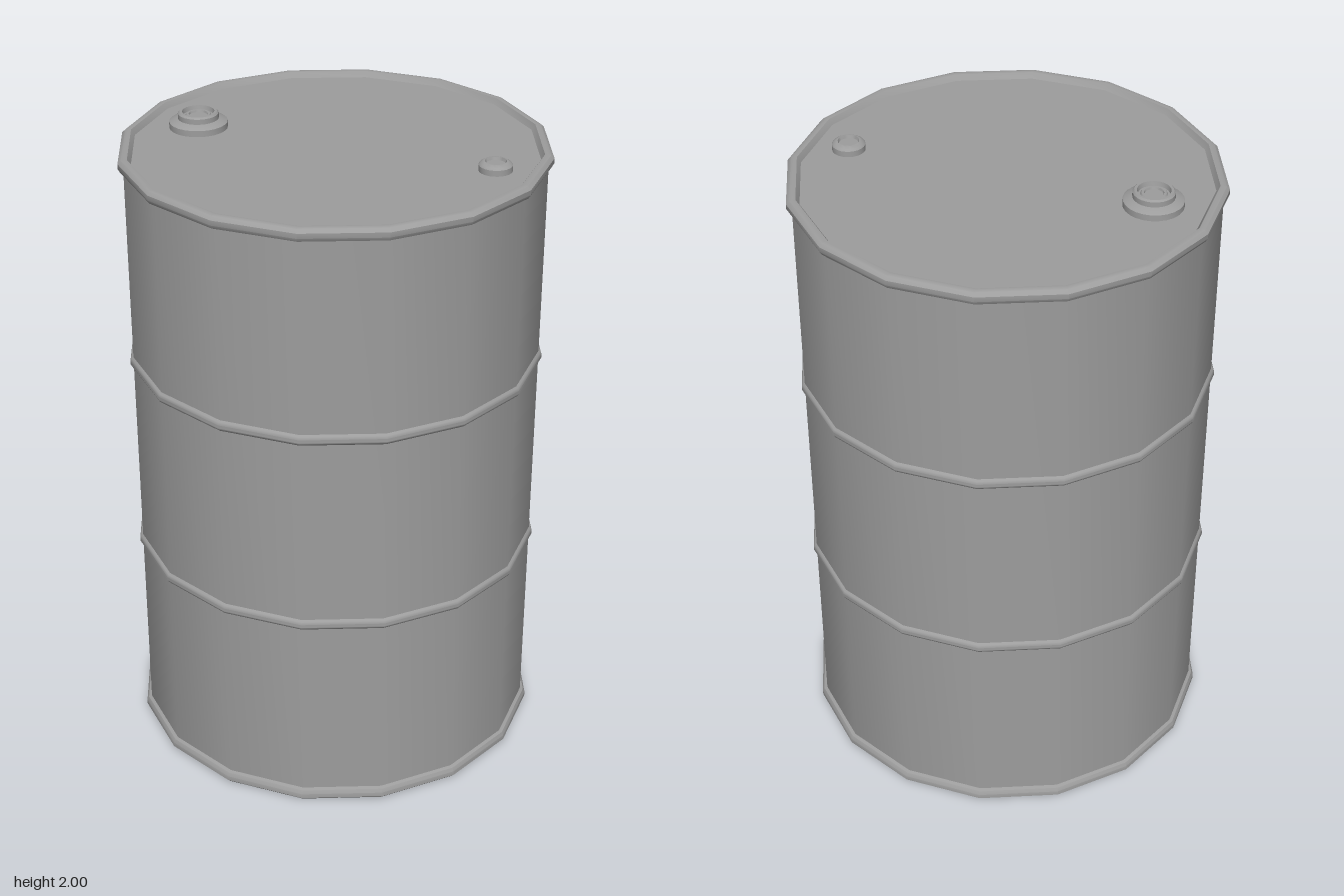
import * as THREE from 'three';
import { toCreasedNormals } from 'three/addons/utils/BufferGeometryUtils.js';

const SIDES = 16;

// Revolved part; the profile of [radius, y] runs up the outside
function turned(name, profile, sides = SIDES) {
  const points = profile.map(([r, y]) => new THREE.Vector2(r, y));
  const geometry = toCreasedNormals(new THREE.LatheGeometry(points, sides), 0.6);
  const material = new THREE.MeshStandardMaterial({ color: 0x9d9d9d });
  const mesh = new THREE.Mesh(geometry, material);
  mesh.name = name;
  return mesh;
}

export function createModel() {
  const group = new THREE.Group();
  group.name = 'drum';

  // Wall with flat recessed base and lid
  const base = 0.015, lid = 1.95, radius = 0.633;
  group.add(turned('drumBody', [[0, base], [radius, base], [radius, lid], [0, lid]]));

  // Rolled rims at both ends, mirrored top to bottom
  const rim = [
    [0.61, 0.018], [0.621, 0.001], [0.629, 0], [0.639, 0.002], [0.649, 0.012],
    [0.649, 0.027], [0.643, 0.038], [0.63, 0.043],
  ];
  group.add(turned('bottomRim', rim));
  group.add(turned('topRim', rim.map(([r, y]) => [r, 1.969 - y]).reverse()));

  // Rolling hoops around the wall
  for (const [name, y] of [['lowerHoop', 0.667], ['upperHoop', 1.307]]) {
    const hoop = turned(name, [
      [0.631, -0.019], [0.639, -0.013], [0.643, -0.005],
      [0.643, 0.005], [0.639, 0.013], [0.631, 0.019],
    ]);
    hoop.position.y = y;
    group.add(hoop);
  }

  // Large filler cap: sloped flange, raised collar, recessed plug
  const filler = turned('fillerCap', [
    [0.089, 0], [0.089, 0.019], [0.085, 0.022], [0.062, 0.029], [0.062, 0.045],
    [0.057, 0.05], [0.049, 0.05], [0.046, 0.036], [0.04, 0.036],
    [0.036, 0.042], [0.029, 0.042], [0.027, 0.036], [0, 0.036],
  ], 24);
  filler.position.set(-0.237, lid, -0.38);
  group.add(filler);

  // Small vent cap: sloped ring with a recessed plug
  const vent = turned('ventCap', [
    [0.05, 0], [0.05, 0.018], [0.046, 0.023], [0.036, 0.029],
    [0.032, 0.029], [0.029, 0.02], [0, 0.02],
  ], 24);
  vent.position.set(0.273, lid, 0.414);
  group.add(vent);

  return group;
}
